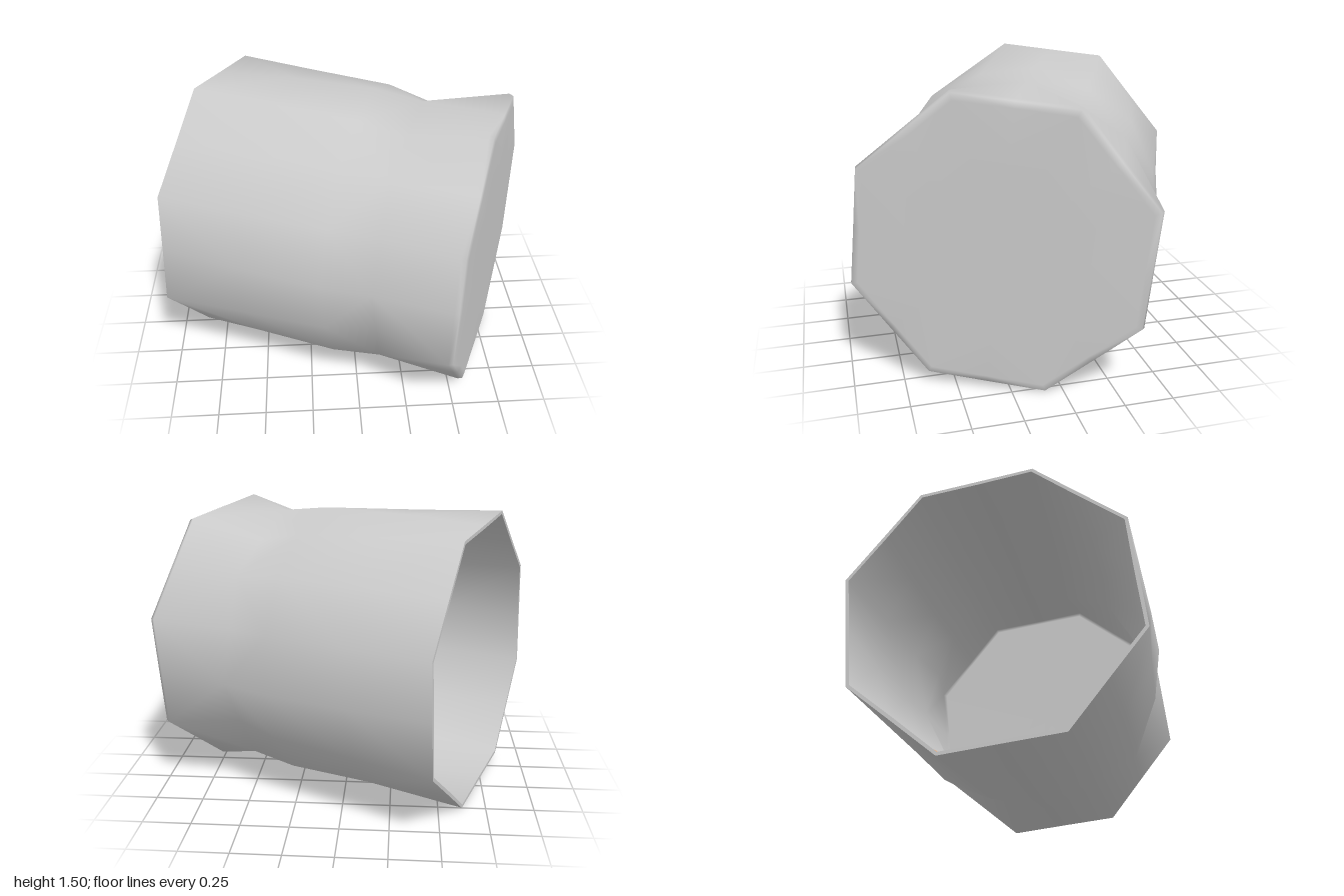
import * as THREE from 'three';

const SIDES = 16;
const START = THREE.MathUtils.degToRad(16.5);

// Rings along the axis: [position, radius at even corners, radius at odd corners]
const outer = [
  [-0.77, 0.78, 0.72],
  [-0.34, 0.757, 0.745],
  [0.1, 0.737, 0.752],
  [0.35, 0.675, 0.722],
  [0.745, 0.78, 0.72],
  [0.768, 0.77, 0.712],
  [0.775, 0.735, 0.68],
  [0.775, 0.45, 0.416],
  [0.775, 0.001, 0.001],
];
const WALL = 0.018;
const inner = outer.slice(0, 5).map(([t, a, b]) => [t, a - WALL, b - WALL]);
inner.push([0.75, 0.74, 0.685], [0.75, 0.001, 0.001]);

const place = (t, r, a) => [t, r * Math.sin(a), -r * Math.cos(a)];

function build(positions, index) {
  const g = new THREE.BufferGeometry();
  g.setAttribute('position', new THREE.Float32BufferAttribute(positions, 3));
  g.setIndex(index);
  g.computeVertexNormals();
  return g;
}

// Faceted shell: alternating diagonals give the twisted diamond panels
function shell(rings, inward = false) {
  const pos = [], idx = [];
  for (const [t, even, odd] of rings)
    for (let k = 0; k < SIDES; k++)
      pos.push(...place(t, k % 2 ? odd : even, START + (k * Math.PI * 2) / SIDES));
  const tri = (a, b, c) => (inward ? idx.push(a, c, b) : idx.push(a, b, c));
  for (let i = 0; i < rings.length - 1; i++)
    for (let k = 0; k < SIDES; k++) {
      const n = (k + 1) % SIDES;
      const a0 = i * SIDES + k, a1 = i * SIDES + n;
      const b0 = a0 + SIDES, b1 = a1 + SIDES;
      // the panel next to the base fans out from the base corners
      if ((k % 2 === 0) !== (i === 3)) {
        tri(a0, a1, b1);
        tri(a0, b1, b0);
      } else {
        tri(a0, a1, b0);
        tri(a1, b1, b0);
      }
    }
  return build(pos, idx);
}

// Inside radius at a position and angle
function innerRadius(t, a) {
  let i = 0;
  while (i < 3 && t > inner[i + 1][0]) i++;
  const f = (t - inner[i][0]) / (inner[i + 1][0] - inner[i][0]);
  const even = THREE.MathUtils.lerp(inner[i][1], inner[i + 1][1], f);
  const odd = THREE.MathUtils.lerp(inner[i][2], inner[i + 1][2], f);
  const u = ((a - START) / (Math.PI * 2)) * SIDES;
  const w = Math.abs((((u % 2) + 2) % 2) - 1);
  return THREE.MathUtils.lerp(odd, even, w);
}

// Thin wavy puddle: [position, start angle, end angle] across the lower wall
function puddle() {
  const rows = [
    [-0.65, 288, 294], [-0.61, 279, 300], [-0.49, 274, 306], [-0.3, 271, 306],
    [-0.18, 274, 304], [-0.08, 283, 303], [0.1, 281, 305], [0.3, 275, 305],
    [0.48, 277, 302], [0.58, 283, 294],
  ];
  const N = 10, pos = [], idx = [];
  rows.forEach(([t, s, e], i) => {
    for (let j = 0; j <= N; j++) {
      const a = THREE.MathUtils.degToRad(s + ((e - s) * j) / N);
      const edge = i === 0 || i === rows.length - 1 || j === 0 || j === N;
      pos.push(...place(t, innerRadius(t, a) - (edge ? 0.006 : 0.02), a));
    }
  });
  for (let i = 0; i < rows.length - 1; i++)
    for (let j = 0; j < N; j++) {
      const a = i * (N + 1) + j, b = a + N + 1;
      idx.push(a, b, a + 1, a + 1, b, b + 1);
    }
  return build(pos, idx);
}

export function createModel() {
  const group = new THREE.Group();
  group.name = 'fallenCup';
  const grey = new THREE.MeshStandardMaterial({ color: 0xcccccc });
  const add = (name, geometry, material = grey) => {
    const mesh = new THREE.Mesh(geometry, material);
    mesh.name = name;
    group.add(mesh);
  };

  add('outerWall', shell(outer));
  add('innerWall', shell(inner, true));
  // flat lip joining the two walls at the mouth
  add('rim', shell([inner[0], outer[0]]));
  add('spilledLiquid', puddle(),
    new THREE.MeshStandardMaterial({ color: 0xd9a27a, side: THREE.DoubleSide }));

  // lying on its side, mouth turned to the back right
  group.rotation.y = -Math.PI / 8;
  group.position.y = 0.75;
  const root = new THREE.Group();
  root.name = 'cup';
  root.add(group);
  return root;
}
